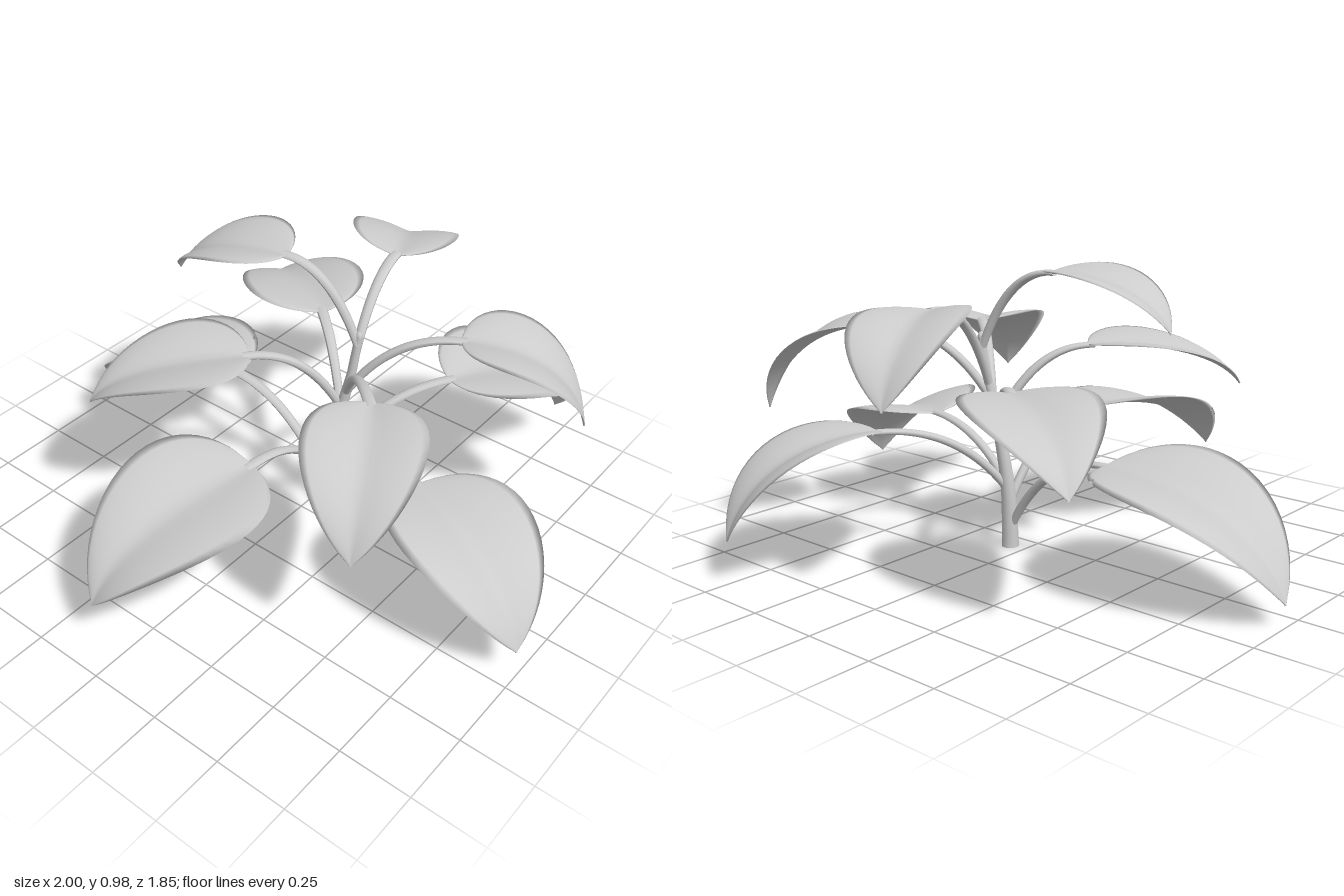
import * as THREE from 'three';

const V = (a) => new THREE.Vector3(...a);
const material = new THREE.MeshStandardMaterial({ color: 0xcccccc, side: THREE.DoubleSide });

// Leaves: stem height of the joint, leaf base, leaf tip, half width, sideways roll
const LEAVES = [
  { joint: 0.06, base: [-0.36, 0.365, -0.1], tip: [-1.0, 0.07, -0.08], half: 0.26, roll: 0.07 },
  { joint: 0.21, base: [0.49, 0.378, 0.015], tip: [0.995, 0.11, 0.2], half: 0.24, roll: -0.08 },
  { joint: 0.15, base: [0.05, 0.415, 0.31], tip: [-0.08, 0.185, 0.915], half: 0.25, roll: -0.1 },
  { joint: 0.2, base: [0.295, 0.435, -0.45], tip: [0.485, 0.145, -0.92], half: 0.22, roll: 0.1 },
  { joint: 0.42, base: [-0.15, 0.605, -0.31], tip: [-0.62, 0.43, -0.6], half: 0.215, roll: 0 },
  { joint: 0.43, base: [-0.1, 0.685, 0.14], tip: [-0.465, 0.545, 0.51], half: 0.2, roll: 0 },
  { joint: 0.5, base: [0.43, 0.745, -0.28], tip: [0.79, 0.45, -0.5], half: 0.185, roll: 0 },
  { joint: 0.5, base: [0.38, 0.715, 0.13], tip: [0.6, 0.47, 0.52], half: 0.188, roll: 0 },
  { joint: 0.56, base: [0.06, 0.855, -0.43], tip: [-0.11, 0.63, -0.8], half: 0.183, roll: 0.07 },
  { joint: 0.69, base: [-0.12, 0.95, -0.08], tip: [-0.53, 0.79, -0.005], half: 0.172, roll: 0 },
];

const stemCurve = new THREE.CatmullRomCurve3([
  [0.06, 0, -0.075], [0.065, 0.2, -0.08], [0.09, 0.4, -0.095],
  [0.125, 0.58, -0.11], [0.14, 0.72, -0.125],
].map(V));

function add(parent, name, geometry) {
  const mesh = new THREE.Mesh(geometry, material);
  mesh.name = name;
  parent.add(mesh);
}

// Point on the stem at a given height
function stemAt(y) {
  let best = stemCurve.getPoint(0);
  for (let i = 1; i <= 200; i++) {
    const p = stemCurve.getPoint(i / 200);
    if (Math.abs(p.y - y) < Math.abs(best.y - y)) best = p;
  }
  return best;
}

// Tube whose radius runs from r0 to r1 and which flattens towards its end
function taperedTube(curve, r0, r1, flatten, segments, sides) {
  const geometry = new THREE.TubeGeometry(curve, segments, 1, sides);
  const pos = geometry.attributes.position;
  const p = new THREE.Vector3();
  for (let i = 0; i < pos.count; i++) {
    const t = Math.floor(i / (sides + 1)) / segments;
    const centre = curve.getPointAt(t);
    p.fromBufferAttribute(pos, i).sub(centre).multiplyScalar(r0 + (r1 - r0) * t);
    p.y *= 1 - flatten * t;
    p.add(centre);
    pos.setXYZ(i, p.x, p.y, p.z);
  }
  geometry.computeVertexNormals();
  return geometry;
}

// Thin creased blade swept along a drooping midrib
function bladeGeometry({ base, tip, half, roll }) {
  const a = V(base), b = V(tip);
  const drop = a.y - b.y;
  const at = (f, y) => a.clone().lerp(b, f).setY(y);
  const midrib = new THREE.CubicBezierCurve3(a, at(0.4, a.y + 0.01), at(0.85, a.y - 0.2 * drop), b);
  const heading = b.clone().sub(a).setY(0).normalize();
  const side = new THREE.Vector3(heading.z, roll, -heading.x).normalize();
  const rows = 28, cols = 16, ring = cols * 2;
  const positions = [], indices = [];
  const outline = (t) => Math.sqrt(t) * Math.pow(1 - t, 0.95);
  const peak = outline(0.345);

  for (let i = 0; i <= rows; i++) {
    const t = (1 - Math.cos(Math.PI * i / rows)) / 2;
    const centre = midrib.getPointAt(t);
    const normal = midrib.getTangentAt(t).cross(side).normalize();
    const width = Math.max(0.004, half * outline(t) / peak);
    for (let j = 0; j < ring; j++) {
      const s = j <= cols ? -1 + 2 * j / cols : 3 - 2 * j / cols;
      // Crease at the midrib, halves bulging and curling down at the rim
      const fold = width * 0.37 * (Math.sqrt(s * s + 0.01) - 0.1 - 0.5 * s * s);
      const skin = (j <= cols ? 1 : -1) * 0.003 * Math.sqrt(1 - s * s);
      const p = centre.clone().addScaledVector(side, s * width).addScaledVector(normal, fold + skin);
      positions.push(p.x, p.y, p.z);
    }
  }
  for (let i = 0; i < rows; i++) {
    for (let j = 0; j < ring; j++) {
      const k = (j + 1) % ring;
      const p = i * ring + j, q = i * ring + k;
      indices.push(p, p + ring, q, q, p + ring, q + ring);
    }
  }
  const geometry = new THREE.BufferGeometry();
  geometry.setAttribute('position', new THREE.Float32BufferAttribute(positions, 3));
  geometry.setIndex(indices);
  geometry.computeVertexNormals();
  return geometry;
}

// Arching stalk from the stem to just inside the blade
function stalkGeometry({ joint, base, tip }) {
  const start = stemAt(joint);
  const a = V(base);
  const end = a.clone().lerp(V(tip).setY(a.y), 0.04);
  const bend = start.clone().lerp(end, 0.38).setY(end.y + 0.01);
  return taperedTube(new THREE.QuadraticBezierCurve3(start, bend, end), 0.014, 0.02, 0.55, 20, 10);
}

export function createModel() {
  const plant = new THREE.Group();
  plant.name = 'plant';

  // Main stem with closed ends
  add(plant, 'stem', taperedTube(stemCurve, 0.03, 0.012, 0, 24, 12));
  const foot = new THREE.CircleGeometry(0.03, 12).rotateX(Math.PI / 2);
  add(plant, 'stemFoot', foot.translate(0.06, 0, -0.075));
  const bud = new THREE.SphereGeometry(0.012, 12, 8).scale(1, 1.6, 1);
  add(plant, 'stemTip', bud.translate(0.14, 0.72, -0.125));

  // Stalks and blades spiralling up the stem
  LEAVES.forEach((spec, i) => {
    const leaf = new THREE.Group();
    leaf.name = `leaf${i + 1}`;
    add(leaf, 'stalk', stalkGeometry(spec));
    add(leaf, 'blade', bladeGeometry(spec));
    plant.add(leaf);
  });
  return plant;
}
